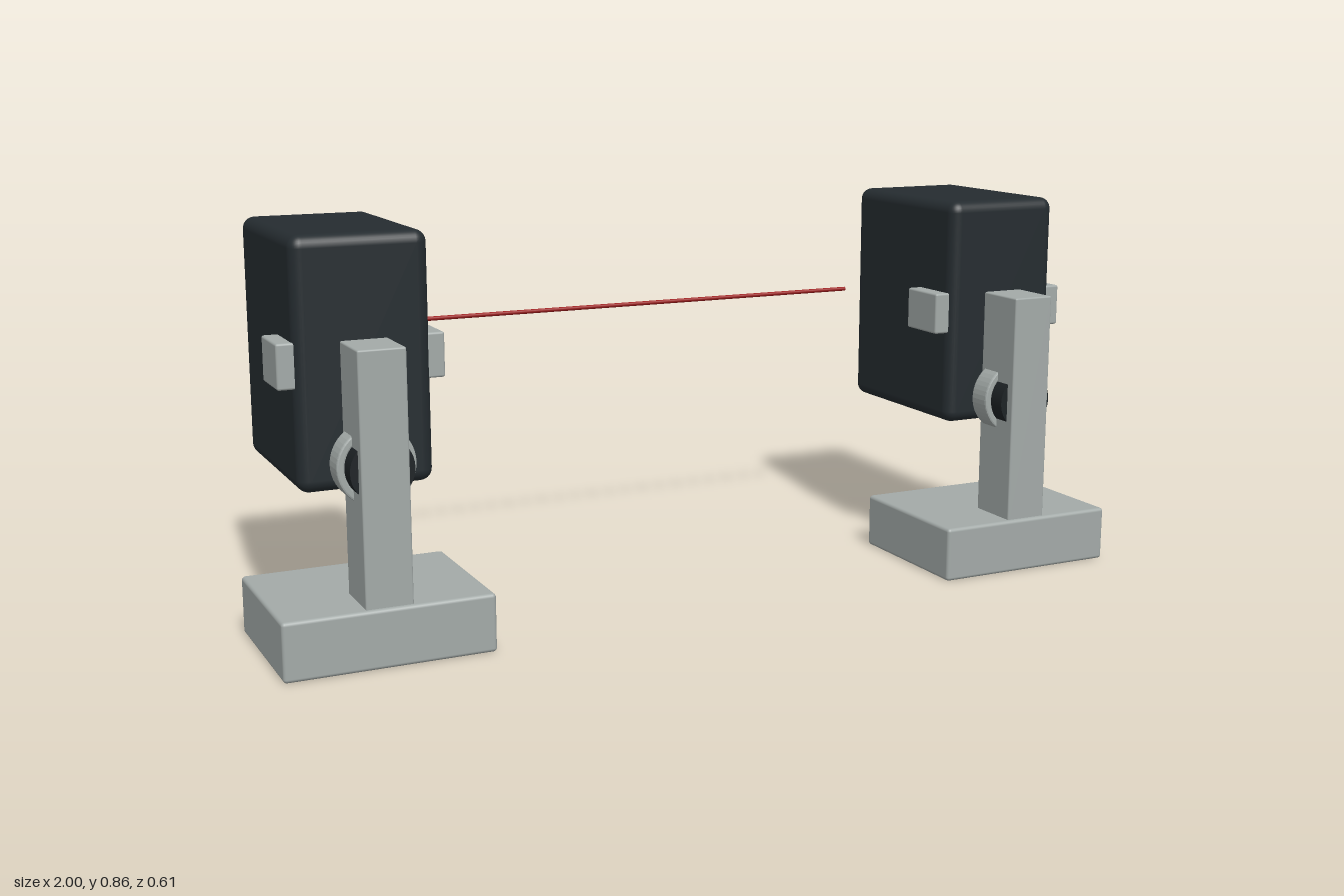
import * as THREE from 'three';
import { RoundedBoxGeometry } from 'three/addons/geometries/RoundedBoxGeometry.js';

const mat = (color) => new THREE.MeshStandardMaterial({ color });
const metal = mat(0xa3aaa8);
const dark = mat(0x252c30);
const black = mat(0x1d2225);
const teal = mat(0x34727f);
const green = mat(0x22a045);
const red = mat(0x9c1c1c);

function add(parent, name, geometry, material, x, y, z) {
  const mesh = new THREE.Mesh(geometry, material);
  mesh.name = name;
  mesh.position.set(x, y, z);
  parent.add(mesh);
  return mesh;
}

// Rounded box given by its y and z extents, centred on x = 0
function box(parent, name, material, width, [y0, y1], [z0, z1], radius, segments = 3) {
  const geometry = new RoundedBoxGeometry(width, y1 - y0, z1 - z0, segments, radius);
  return add(parent, name, geometry, material, 0, (y0 + y1) / 2, (z0 + z1) / 2);
}

// Disc or drum whose axis runs along z
function drum(parent, name, material, radius, x, y, [z0, z1], sides = 40) {
  const geometry = new THREE.CylinderGeometry(radius, radius, z1 - z0, sides).rotateX(Math.PI / 2);
  return add(parent, name, geometry, material, x, y, (z0 + z1) / 2);
}

// Flat collar with softened rims, axis along z
function collarGeometry(inner, outer, depth) {
  const bevel = 0.004;
  const shape = new THREE.Shape().absarc(0, 0, outer - bevel, 0, Math.PI * 2);
  shape.holes.push(new THREE.Path().absarc(0, 0, inner + bevel, 0, Math.PI * 2, true));
  return new THREE.ExtrudeGeometry(shape, {
    depth: depth - 2 * bevel, bevelThickness: bevel, bevelSize: bevel,
    bevelSegments: 2, curveSegments: 24,
  }).translate(0, 0, bevel - depth / 2);
}

function createSensor(name, x) {
  const unit = new THREE.Group();
  unit.name = name;
  unit.position.x = x;

  // Stand
  box(unit, 'base', metal, 0.445, [0, 0.125], [-0.045, 0.305], 0.008);
  box(unit, 'post', metal, 0.1, [0.118, 0.65], [0.17, 0.295], 0.004, 2);

  // Tilt joint behind the housing
  drum(unit, 'pivotDrum', black, 0.067, 0, 0.402, [0.14, 0.275]);
  add(unit, 'pivotCollar', collarGeometry(0.066, 0.083, 0.056), metal, 0, 0.402, 0.208);

  // Housing and the bracket that clasps its sides
  box(unit, 'housing', dark, 0.285, [0.34, 0.863], [-0.256, 0.168], 0.026, 4);
  for (const side of [-1, 1]) {
    const lug = box(unit, side > 0 ? 'leftLug' : 'rightLug', metal, 0.055, [0.555, 0.65], [0.035, 0.155], 0.005, 2);
    lug.position.x = side * 0.1475;
  }

  // Face plate with lens and indicator lamp
  box(unit, 'facePlate', teal, 0.203, [0.465, 0.738], [-0.287, -0.265], 0.003, 2);
  drum(unit, 'lens', black, 0.064, 0, 0.602, [-0.3, -0.284]);
  drum(unit, 'indicatorLamp', green, 0.0135, 0.085, 0.739, [-0.3, -0.284], 20);
  return unit;
}

export function createModel() {
  const model = new THREE.Group();
  model.name = 'beamSensorPair';
  model.add(createSensor('rightSensor', -0.775), createSensor('leftSensor', 0.775));

  // Light beam between the two units
  const beam = new THREE.CylinderGeometry(0.005, 0.005, 1.25, 12).rotateZ(Math.PI / 2);
  add(model, 'beam', beam, red, 0, 0.602, -0.3);
  return model;
}
